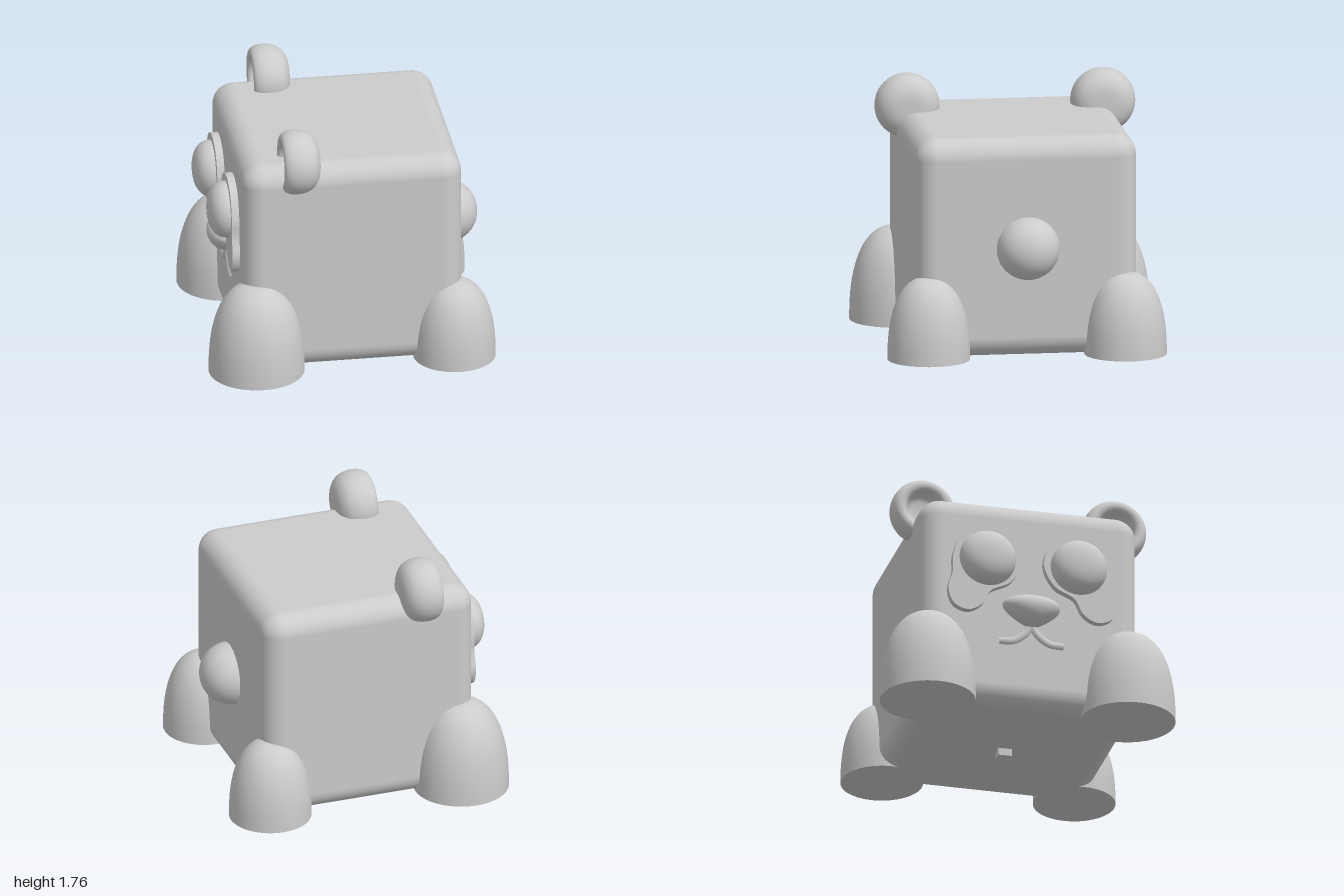
import * as THREE from 'three';
import { RoundedBoxGeometry } from 'three/addons/geometries/RoundedBoxGeometry.js';

const grey = new THREE.MeshStandardMaterial({ color: 0xcccccc });
const v2 = (x, y) => new THREE.Vector2(x, y);

function add(parent, name, geometry, x = 0, y = 0, z = 0) {
  const mesh = new THREE.Mesh(geometry, grey);
  mesh.name = name;
  mesh.position.set(x, y, z);
  parent.add(mesh);
  return mesh;
}

// Rounded dome standing on y = 0; a higher power gives fuller shoulders
function dome(radius, height, power = 2.3) {
  const points = [];
  for (let i = 0; i <= 20; i++) {
    const a = (i / 20) * Math.PI / 2;
    points.push(v2(radius * Math.cos(a) ** (2 / power), height * Math.sin(a) ** (2 / power)));
  }
  points[20].x = 0;
  return new THREE.LatheGeometry(points, 48);
}

function addFoot(parent, name, radius, height, x, z) {
  const foot = new THREE.Group();
  foot.name = name;
  foot.position.set(x, 0.05, z);
  add(foot, 'footDome', dome(radius, height, 2.4));
  add(foot, 'footSole', new THREE.CircleGeometry(radius, 48).rotateX(Math.PI / 2));
  parent.add(foot);
}

// Cupped ear, turned around its own axis with the hollow at the top end
function earGeometry() {
  const profile = [[0, -0.125], [0.1, -0.12], [0.17, -0.085], [0.205, -0.03], [0.215, 0.03],
    [0.21, 0.08], [0.19, 0.118], [0.16, 0.13], [0.13, 0.115], [0.11, 0.07], [0.08, 0.04], [0, 0.03]];
  const points = new THREE.SplineCurve(profile.map(([r, y]) => v2(r, y))).getPoints(44);
  points.forEach((p) => { p.x = Math.max(0, p.x); });
  return new THREE.LatheGeometry(points, 48);
}

// Drooping patch round the eye; side is +1 or -1
function patchGeometry(side) {
  const outline = [[0.31, 1.3], [0.47, 1.235], [0.54, 1.08], [0.545, 0.95], [0.575, 0.82], [0.535, 0.715],
    [0.44, 0.68], [0.345, 0.73], [0.285, 0.835], [0.15, 0.91], [0.075, 1.065], [0.14, 1.235]];
  const curve = new THREE.CatmullRomCurve3(
    outline.map(([u, v]) => new THREE.Vector3(side * u, v, 0)), true);
  const shape = new THREE.Shape(curve.getPoints(60).slice(0, -1).map((p) => v2(p.x, p.y)));
  return new THREE.ExtrudeGeometry(shape, { depth: 0.07, bevelEnabled: false });
}

// Rounded nose, wide at the top and narrowing downwards
function noseGeometry() {
  const geometry = new THREE.SphereGeometry(1, 40, 28);
  const p = geometry.attributes.position;
  for (let i = 0; i < p.count; i++) {
    const y = p.getY(i);
    p.setXYZ(i, p.getX(i) * 0.18 * (1 + 0.45 * y), y * 0.11, p.getZ(i) * 0.13 * (1 + 0.2 * y));
  }
  geometry.computeVertexNormals();
  return geometry;
}

export function createModel() {
  const model = new THREE.Group();
  model.name = 'cubeBear';

  add(model, 'body', new RoundedBoxGeometry(1.47, 1.47, 1.47, 8, 0.14), 0, 0.785, 0);
  add(model, 'peg', new THREE.BoxGeometry(0.09, 0.06, 0.09), 0, 0.03, 0);
  add(model, 'tail', dome(0.21, 0.215, 2.1), 0.72, 0.785, 0).rotation.z = -Math.PI / 2;

  // Face plane: local x runs along world z, local z points outwards
  const face = new THREE.Group();
  face.name = 'face';
  face.position.x = -0.735;
  face.rotation.y = -Math.PI / 2;
  model.add(face);
  add(face, 'nose', noseGeometry(), 0, 0.725, 0);

  for (const side of [-1, 1]) {
    addFoot(model, 'frontFoot', 0.317, 0.63, -0.643, side * 0.68);
    addFoot(model, 'hindFoot', 0.273, 0.55, 0.682, side * 0.655);
    add(model, 'ear', earGeometry(), -0.345, 1.54, side * 0.652).rotation.z = Math.PI / 2;

    add(face, 'eyePatch', patchGeometry(side), 0, 0, -0.02);
    add(face, 'eye', dome(0.19, 0.13), side * 0.31, 1.06, 0.05).rotation.x = Math.PI / 2;

    // Soft, mostly sunken mouth ridge
    const mouth = new THREE.CatmullRomCurve3([[0, 0.64], [0.04, 0.57], [0.12, 0.51], [0.22, 0.5]]
      .map(([u, v]) => new THREE.Vector3(side * u, v, -0.015)));
    add(face, 'mouth', new THREE.TubeGeometry(mouth, 20, 0.03, 12));
  }
  return model;
}
